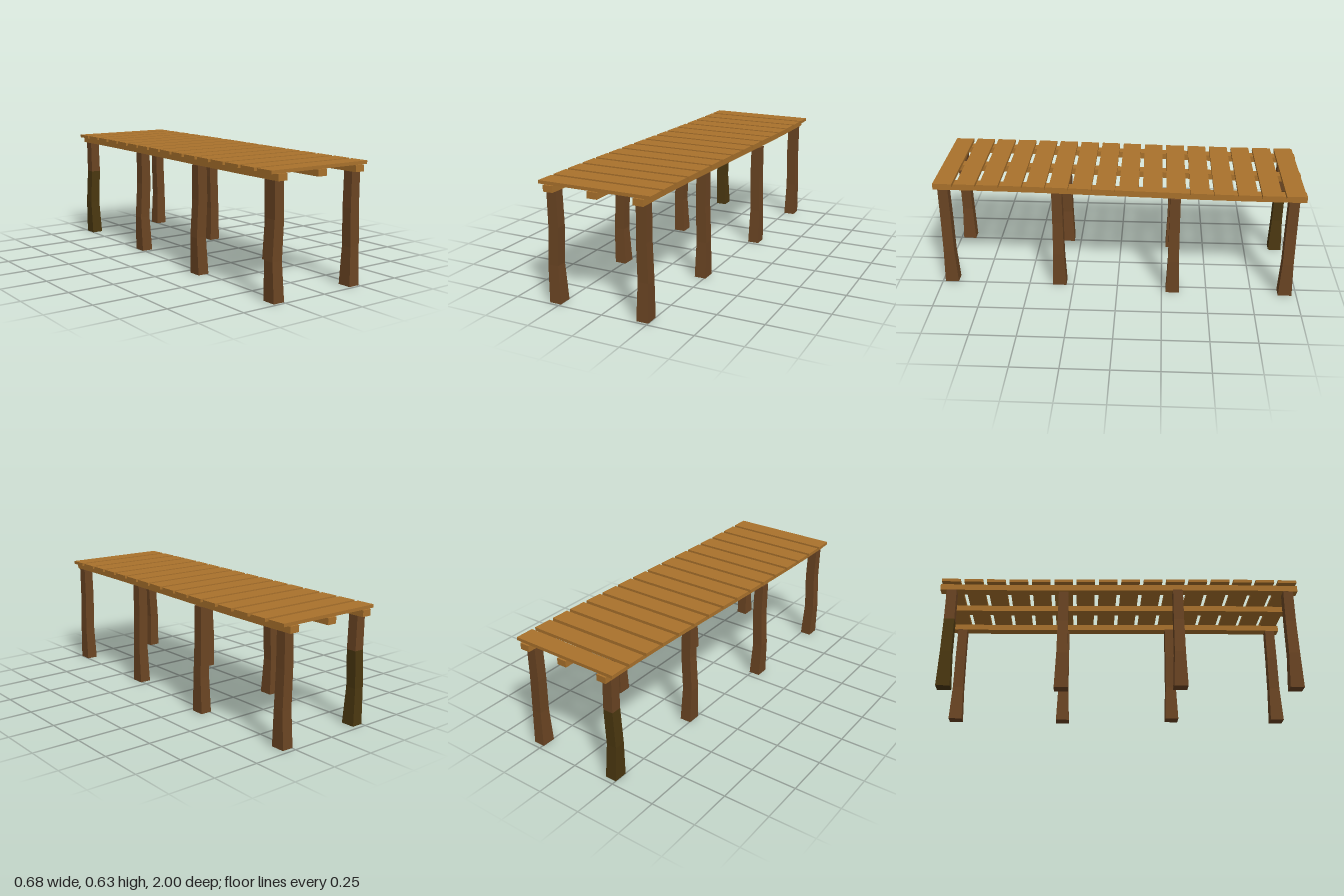
import * as THREE from 'three';

const HALF_SPACING = 0.248;

// Gentle sideways sway of the deck along its length
const sway = (z) => -0.031 * Math.sin((z * Math.PI) / 2);

// Box that follows the sway
function swayedBox(width, height, length, x, y, z, segments) {
  const geo = new THREE.BoxGeometry(width, height, length, 1, 1, segments);
  geo.translate(x, y, z);
  const p = geo.attributes.position;
  for (let i = 0; i < p.count; i++) p.setX(i, p.getX(i) + sway(p.getZ(i)));
  geo.computeVertexNormals();
  return geo;
}

// Post rings from the ground up: height, x width, z width
const RINGS = [
  [0, 0.064, 0.076],
  [0.2, 0.058, 0.06],
  [0.4, 0.057, 0.057],
  [0.583, 0.055, 0.055],
];

// Crooked post between two rings; bend gives the x offset of each ring
function postGeometry(x, z, bend, from, to) {
  const steps = to - from;
  const geo = new THREE.BoxGeometry(1, 1, 1, 1, steps, 1);
  const p = geo.attributes.position;
  for (let i = 0; i < p.count; i++) {
    const k = from + Math.round((p.getY(i) + 0.5) * steps);
    const [y, w, d] = RINGS[k];
    p.setXYZ(i, x + bend[k] + p.getX(i) * w, y, z + p.getZ(i) * d);
  }
  geo.computeVertexNormals();
  return geo;
}

export function createModel() {
  const model = new THREE.Group();
  model.name = 'woodenDock';

  const plankWood = new THREE.MeshStandardMaterial({ color: 0xaa722c });
  plankWood.name = 'plankWood';
  const postWood = new THREE.MeshStandardMaterial({ color: 0x6b4523 });
  postWood.name = 'postWood';
  const wetWood = new THREE.MeshStandardMaterial({ color: 0x4b3810 });
  wetWood.name = 'darkOliveWood';
  postWood.flatShading = wetWood.flatShading = true;

  const add = (name, geo, material) => {
    const mesh = new THREE.Mesh(geo, material);
    mesh.name = name;
    model.add(mesh);
  };

  // Deck planks
  for (let i = 0; i < 16; i++) {
    const z = -0.938 + i * 0.12507;
    add('plank', swayedBox(0.617, 0.017, 0.103, 0, 0.6255, z, 1), plankWood);
  }

  // Three long beams under the deck
  for (const side of [-1, 0, 1]) {
    add('beam', swayedBox(0.055, 0.034, 2, side * HALF_SPACING, 0.6, 0, 16), plankWood);
  }

  // Four pairs of posts: z position and x shift
  const pairs = [[0.947, -0.03], [0.328, -0.022], [-0.311, 0.026], [-0.936, 0.029]];
  const bends = { '-1': [0, -0.008, 0.003, 0], 1: [0, 0.004, -0.002, 0] };
  pairs.forEach(([z, shift], row) => {
    for (const side of [-1, 1]) {
      const x = side * HALF_SPACING + shift;
      const bend = bends[side];
      if (row === 3 && side === -1) {
        // This corner post has a darker lower part
        add('postLowerPart', postGeometry(x, z, bend, 0, 2), wetWood);
        add('postUpperPart', postGeometry(x, z, bend, 2, 3), postWood);
      } else {
        add('post', postGeometry(x, z, bend, 0, 3), postWood);
      }
    }
  });

  return model;
}
